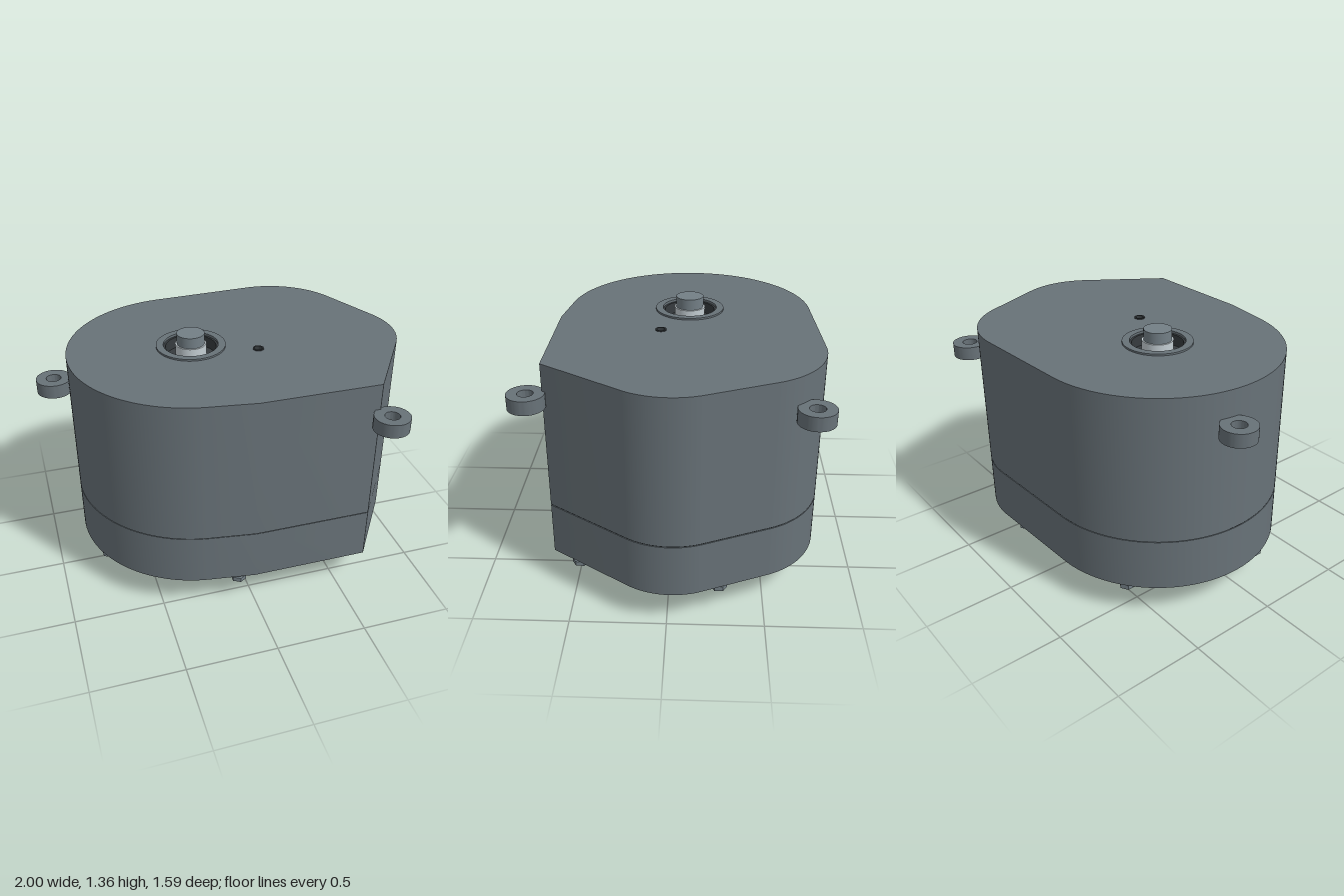
import * as THREE from 'three';
import { toCreasedNormals } from 'three/addons/utils/BufferGeometryUtils.js';

const material = (color) => new THREE.MeshStandardMaterial({ color });
const deg = THREE.MathUtils.degToRad;
const AXIS = [-0.16, -0.085]; // shaft position in x, z
const PIN = [0.18, 0.06];     // small hole in the top

// Housing outline, drawn with shape y as model z
function outline(holes = []) {
  const s = new THREE.Shape();
  s.absarc(AXIS[0], AXIS[1], 0.675, deg(98), deg(267.5), false);
  s.absarc(0.41, -0.335, 0.45, deg(268), deg(338), false);
  s.absarc(0.6, -0.02, 0.4, deg(-22), deg(33), false);
  s.lineTo(0.65, 0.62);
  s.lineTo(0, 0.62);
  s.closePath();
  for (const [x, z, r] of holes) {
    const h = new THREE.Path();
    h.absarc(x, z, r, 0, Math.PI * 2, true);
    s.holes.push(h);
  }
  return s;
}

function disc(r, hole) {
  const s = new THREE.Shape();
  s.absarc(0, 0, r, 0, Math.PI * 2, false);
  const h = new THREE.Path();
  h.absarc(0, 0, hole, 0, Math.PI * 2, true);
  s.holes.push(h);
  return s;
}

// Upright slab of a shape between two heights
function slab(shape, y0, y1) {
  const g = new THREE.ExtrudeGeometry(shape, { depth: y1 - y0, bevelEnabled: false, curveSegments: 36 });
  g.rotateX(Math.PI / 2);
  g.translate(0, y1, 0);
  return toCreasedNormals(g, deg(25));
}

export function createModel() {
  const model = new THREE.Group();
  model.name = 'gearMotor';
  const body = material(0x687278);
  const steel = material(0x737f86);
  const light = material(0xc4ced3);
  const dark = material(0x363b3e);

  function add(name, geometry, mat, x = 0, z = 0, parent = model) {
    const m = new THREE.Mesh(geometry, mat);
    m.name = name;
    m.position.set(x, 0, z);
    parent.add(m);
    return m;
  }
  function rod(name, r, y0, y1, mat, [x, z], sides = 40, parent = model) {
    const g = new THREE.CylinderGeometry(r, r, y1 - y0, sides);
    g.translate(0, (y0 + y1) / 2, 0);
    return add(name, sides < 10 ? toCreasedNormals(g, 0.3) : g, mat, x, z, parent);
  }

  // Two-part housing with a fine groove at the joint
  add('upperHousing', slab(outline([[...AXIS, 0.15], [...PIN, 0.028]]), 0.482, 1.285), body);
  add('lowerHousing', slab(outline(), 0.187, 0.477), body);
  const joint = slab(outline(), 0.475, 0.484);
  joint.scale(0.995, 1, 0.995);
  add('jointGroove', joint, dark);

  // Bearing seat and pin hole in the top
  add('bearingRim', slab(disc(0.19, 0.15), 1.28, 1.295), body, ...AXIS);
  add('bearingLiner', slab(disc(0.155, 0.138), 1.2, 1.282), dark, ...AXIS);
  rod('bearingFloor', 0.155, 1.18, 1.22, dark, AXIS);
  rod('pinHoleFloor', 0.032, 1.24, 1.27, dark, PIN, 24);
  add('pinHoleRim', slab(disc(0.03, 0.022), 1.26, 1.29), dark, ...PIN);

  // Shaft ends with bright collars
  rod('upperCollar', 0.085, 1.2, 1.3, light, AXIS);
  rod('upperShaft', 0.076, 1.2, 1.36, steel, AXIS);
  rod('lowerBoss', 0.097, 0.11, 0.2, body, AXIS);
  rod('lowerCollar', 0.081, 0.063, 0.12, light, AXIS);
  rod('lowerShaft', 0.075, 0, 0.07, steel, AXIS);

  // Mounting ears
  const ear = slab(disc(0.095, 0.04), 1.065, 1.14);
  for (const [x, z] of [[-0.905, -0.2], [0.79, -0.705], [0.68, 0.695]]) {
    add('mountingEar', ear, body, x, z);
  }

  // Cover screws on the underside
  const screws = [[0.685, 0.475], [0.865, -0.265], [0.28, -0.715], [-0.52, -0.58], [-0.735, 0.145], [-0.08, 0.56]];
  for (const p of screws) {
    const screw = new THREE.Group();
    screw.name = 'coverScrew';
    model.add(screw);
    rod('screwHead', 0.044, 0.14, 0.166, steel, p, 6, screw);
    rod('screwShank', 0.028, 0.16, 0.19, steel, p, 20, screw);
  }
  return model;
}
